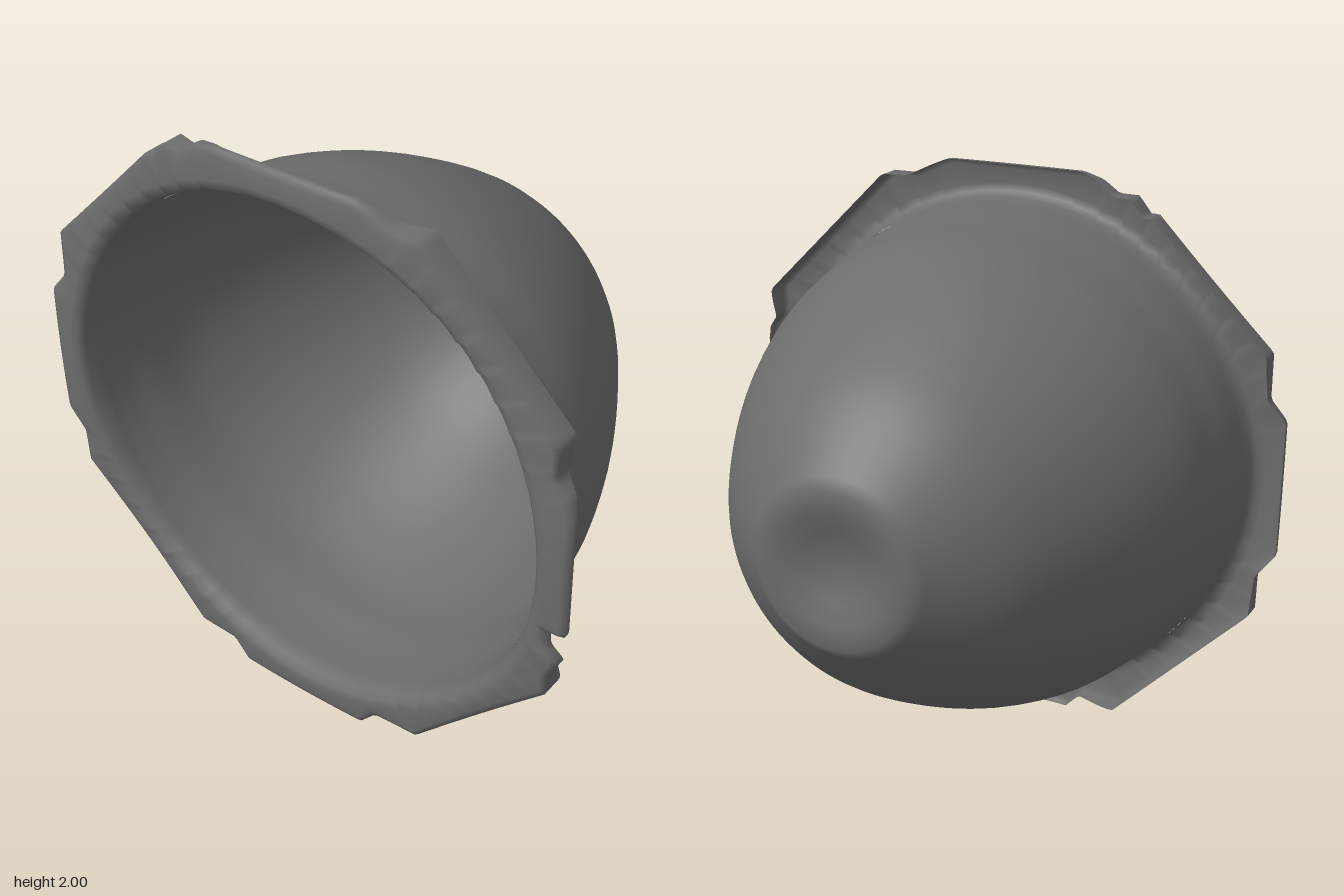
import * as THREE from 'three';

const V = (x, y) => new THREE.Vector2(x, y);
const material = new THREE.MeshStandardMaterial({ color: 0x6c6c6c, side: THREE.DoubleSide });

// Open cup: revolved profile of [radius, depth], with a shallow dimple at the back
function makeBowl() {
  const dimple = [V(0, -0.6), V(0.06, -0.603), V(0.12, -0.62), V(0.19, -0.645), V(0.26, -0.652)];
  const wall = new THREE.SplineCurve([
    V(0.26, -0.652), V(0.4, -0.535), V(0.53, -0.4), V(0.655, -0.2),
    V(0.755, 0), V(0.825, 0.2), V(0.848, 0.35)]);
  const steps = [V(0.854, 0.4), V(0.865, 0.44), V(0.87, 0.49), V(0.876, 0.53), V(0.878, 0.57)];
  const profile = [...dimple, ...wall.getPoints(18).slice(1), ...steps];
  const geometry = new THREE.LatheGeometry(profile, 96);
  geometry.rotateX(Math.PI / 2);
  const bowl = new THREE.Mesh(geometry, material);
  bowl.name = 'bowl';
  return bowl;
}

// Ragged rim: rolled lip swept round the opening, with a skirt on the diagonals
function makeRim() {
  const outline = [
    [1, 0], [1, 0.25], [0.98, 0.31], [0.94, 0.36], [0.94, 0.47], [0.47, 0.94], [0.38, 0.94],
    [0.3, 0.98], [0.25, 1], [-0.25, 1], [-0.32, 0.98], [-0.38, 0.94], [-0.45, 0.94],
    [-0.5, 0.88], [-0.52, 0.89], [-0.94, 0.47], [-0.94, 0.31], [-1, 0.24], [-1, -0.24],
    [-0.94, -0.32], [-0.94, -0.45], [-0.46, -0.935], [-0.31, -0.935], [-0.25, -1],
    [0.24, -1], [0.3, -0.935], [0.46, -0.935], [0.94, -0.45], [0.94, -0.38],
    [0.975, -0.31], [0.94, -0.25], [0.94, -0.18], [1, -0.18], [1, 0]
  ].map(([x, y]) => V(x, y));
  const edge = new THREE.Shape(outline).getSpacedPoints(360);
  const count = edge.length - 1;
  const positions = [], index = [];
  const rows = 8;

  for (let i = 0; i < count; i++) {
    const { x, y } = edge[i];
    const angle = Math.atan2(y, x), r = Math.hypot(x, y);
    const diagonal = (1 - Math.cos(4 * angle)) / 2;
    // sharp teeth along the inside of the lip, strongest on the diagonals
    const tooth = ((i % 6) / 5 - 0.5) * diagonal;
    const front = 0.65 - 0.022 * diagonal;
    // skirt is deep on the diagonals and rises smoothly towards the four sides
    const offset = Math.min(Math.abs(x), Math.abs(y));
    const back = 0.615 - 0.075 * THREE.MathUtils.smoothstep(offset, 0.2, 0.48);
    const section = [
      [0.877, 0.54],
      [0.88, 0.575],
      [0.886, front - 0.025],
      [0.905 + 0.016 * tooth, front - 0.006 + 0.006 * tooth],
      [0.93 + 0.012 * tooth, front + 0.008 * tooth],
      [r - 0.02, front - 0.005],
      [r, front - 0.015],
      [r, Math.min(back, front - 0.02)]
    ];
    for (const [radius, z] of section)
      positions.push(radius * Math.cos(angle), radius * Math.sin(angle), z);

    const n = (i + 1) % count;
    for (let j = 0; j < rows - 1; j++) {
      const a = i * rows + j, b = n * rows + j;
      index.push(a, a + 1, b, b, a + 1, b + 1);
    }
  }
  const geometry = new THREE.BufferGeometry();
  geometry.setAttribute('position', new THREE.Float32BufferAttribute(positions, 3));
  geometry.setIndex(index);
  geometry.computeVertexNormals();
  const rim = new THREE.Mesh(geometry, material);
  rim.name = 'rim';
  return rim;
}

export function createModel() {
  const group = new THREE.Group();
  group.name = 'cup';
  group.add(makeBowl(), makeRim());
  group.children.forEach((part) => { part.position.y = 1; });
  return group;
}
